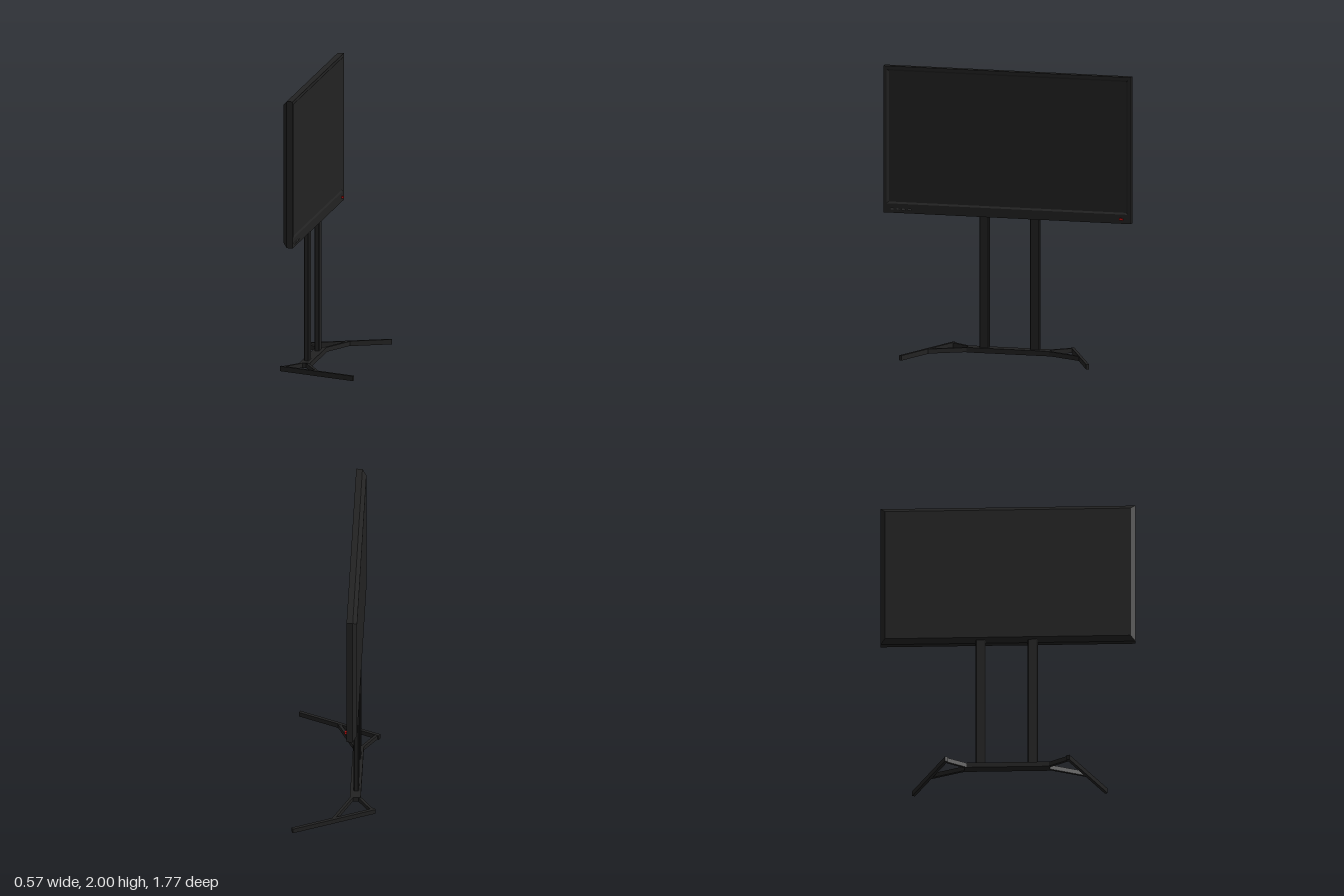
import * as THREE from 'three';

const BLACK = 0x222222;
const mat = (color) => new THREE.MeshStandardMaterial({ color, flatShading: true });

function add(parent, name, geometry, material, x = 0, y = 0, z = 0) {
  const mesh = new THREE.Mesh(geometry, material);
  mesh.name = name;
  mesh.position.set(x, y, z);
  parent.add(mesh);
  return mesh;
}

// Skin over rectangles facing +x, each given as [x, yBottom, yTop, halfWidth]
function rectLoft(rects) {
  const pos = [], idx = [];
  for (const [x, y0, y1, w] of rects) pos.push(x, y0, -w, x, y1, -w, x, y1, w, x, y0, w);
  for (let i = 0; i < rects.length - 1; i++) {
    for (let j = 0; j < 4; j++) {
      const a = i * 4 + j, b = i * 4 + (j + 1) % 4;
      idx.push(a, b, b + 4, a, b + 4, a + 4);
    }
  }
  const n = (rects.length - 1) * 4;
  idx.push(0, 2, 1, 0, 3, 2, n, n + 1, n + 2, n, n + 2, n + 3);
  const g = new THREE.BufferGeometry();
  g.setAttribute('position', new THREE.Float32BufferAttribute(pos, 3));
  g.setIndex(idx);
  const flat = g.toNonIndexed();
  flat.computeVertexNormals();
  return flat;
}

// Upright post with chamfered corners
function postGeometry(w, d, h, c) {
  const x = w / 2, y = d / 2;
  const s = new THREE.Shape([
    [x - c, -y], [x, -y + c], [x, y - c], [x - c, y],
    [-x + c, y], [-x, y - c], [-x, -y + c], [-x + c, -y],
  ].map(([a, b]) => new THREE.Vector2(a, b)));
  return new THREE.ExtrudeGeometry(s, { depth: h, bevelEnabled: false }).rotateX(-Math.PI / 2);
}

export function createModel() {
  const model = new THREE.Group();
  model.name = 'displayOnStand';
  const black = mat(BLACK);

  // Display: tapered back, bezel and recessed screen
  const display = new THREE.Group();
  display.name = 'display';
  model.add(display);
  add(display, 'panel', rectLoft([
    [-0.177, 0.995, 1.968, 0.852],
    [-0.148, 0.963, 2, 0.885],
    [-0.105, 0.963, 2, 0.885],
    [-0.105, 1.028, 1.978, 0.863],
    [-0.113, 1.04, 1.966, 0.848],
  ]), black);

  // Buttons and indicator on the lower bezel
  const grey = mat(0x555555);
  for (let i = 0; i < 4; i++) {
    add(display, 'button', new THREE.BoxGeometry(0.014, 0.01, 0.022), grey, -0.102, 0.99, 0.7 + i * 0.041);
  }
  add(display, 'indicator', new THREE.BoxGeometry(0.02, 0.014, 0.025), mat(0xcc1515), -0.1, 0.995, -0.815);

  // Posts
  for (const z of [0.172, -0.19]) {
    add(model, 'post', postGeometry(0.038, 0.07, 0.95, 0.007), black, -0.147, 0.03, z);
  }

  // Floor base: centre bar, two splayed legs, two struts per side
  const base = new THREE.Group();
  base.name = 'base';
  model.add(base);
  const H = 0.035;
  add(base, 'centreBar', new THREE.BoxGeometry(0.075, H, 0.59), black, -0.143, H / 2, -0.005);
  const beam = (name, x0, z0, x1, z1, t, h) => {
    const m = add(base, name, new THREE.BoxGeometry(Math.hypot(x1 - x0, z1 - z0), h, t), black,
      (x0 + x1) / 2, H / 2, (z0 + z1) / 2);
    m.rotation.y = -Math.atan2(z1 - z0, x1 - x0);
  };
  for (const s of [1, -1]) {
    beam('leg', -0.285, s * 0.422, 0.28, s * 0.669, 0.021, H);
    beam('frontStrut', -0.125, s * 0.28, 0, s * 0.543, 0.02, H - 0.003);
    beam('backStrut', -0.16, s * 0.275, -0.264, s * 0.425, 0.02, H - 0.003);
  }
  return model;
}
